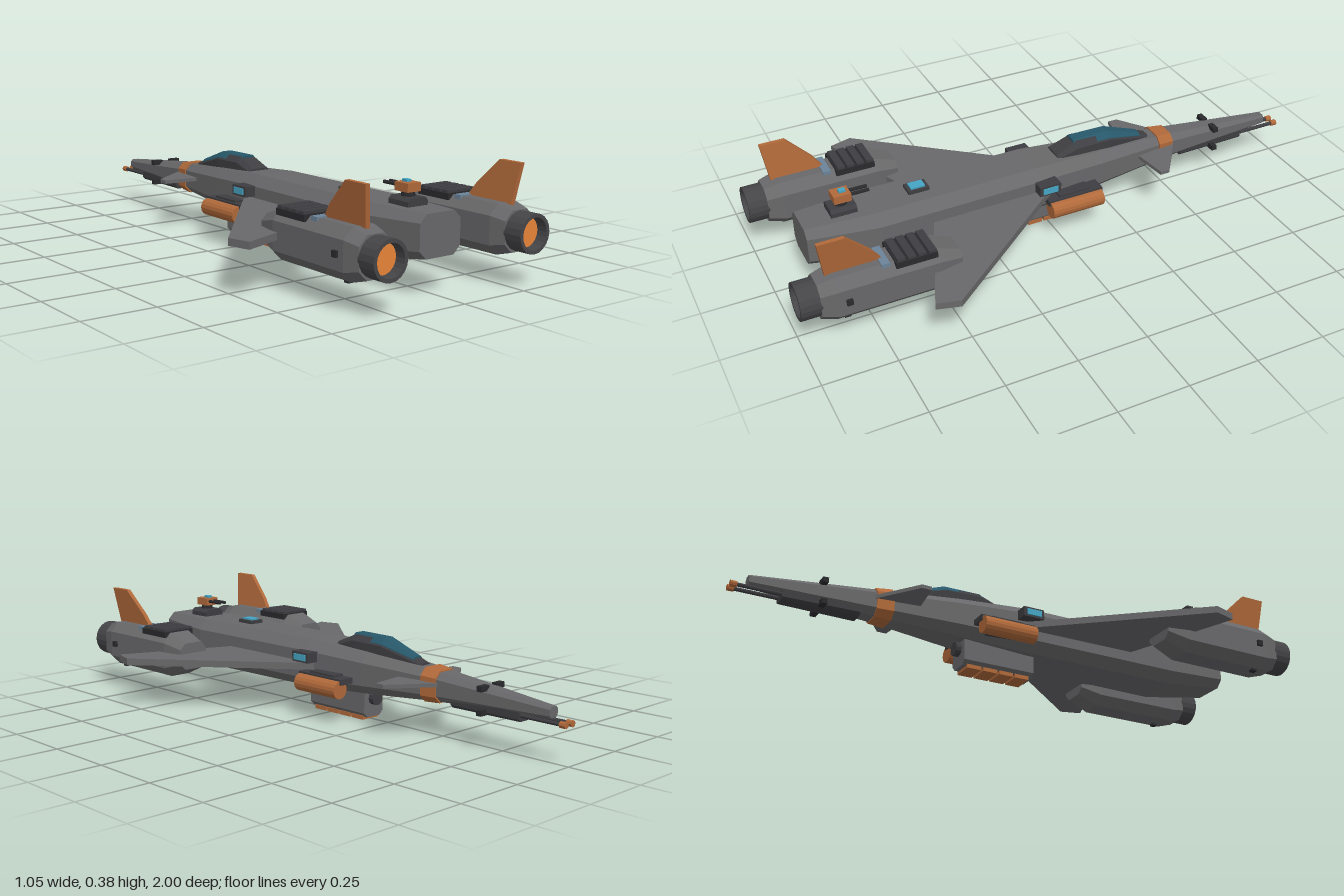
import * as THREE from 'three';

const paint = (color, extra = {}) => new THREE.MeshStandardMaterial({ color, flatShading: true, ...extra });
const HULL = paint(0x68686a), DARK = paint(0x3e3e42), BLACK = paint(0x2a2a2d);
const ORANGE = paint(0xb0693a), GLOW = paint(0xe88438), GLASS = paint(0x27586a);
const TEAL = paint(0x45a5c4), STEEL = paint(0x6b8499), NOZZLE = paint(0x454548, { side: THREE.DoubleSide });

function add(parent, name, geometry, material, x = 0, y = 0, z = 0) {
  const mesh = new THREE.Mesh(geometry, material);
  mesh.name = name;
  mesh.position.set(x, y, z);
  parent.add(mesh);
  return mesh;
}

// Box given by its extents
function box(parent, name, material, [x0, x1], [y0, y1], [z0, z1]) {
  return add(parent, name, new THREE.BoxGeometry(Math.abs(x1 - x0), y1 - y0, z1 - z0), material,
    (x0 + x1) / 2, (y0 + y1) / 2, (z0 + z1) / 2);
}

// Cylinder lying along z
function rod(parent, name, material, r, x, y, z0, z1, sides = 12) {
  const g = new THREE.CylinderGeometry(r, r, z1 - z0, sides).rotateX(Math.PI / 2);
  return add(parent, name, g, material, x, y, (z0 + z1) / 2);
}

// Loft of chamfered rectangles: [z, halfWidth, bottom, top, chamfer], z rising
function loft(sections) {
  const pos = [], rings = sections.map(([z, w, b, t, c]) => [
    [w, b + c, z], [w, t - c, z], [w - c, t, z], [c - w, t, z],
    [-w, t - c, z], [-w, b + c, z], [c - w, b, z], [w - c, b, z]]);
  const tri = (...p) => p.forEach(v => pos.push(...v));
  for (let i = 0; i + 1 < rings.length; i++) {
    for (let j = 0; j < 8; j++) {
      const k = (j + 1) % 8, p = rings[i], q = rings[i + 1];
      tri(p[j], p[k], q[k]);
      tri(p[j], q[k], q[j]);
    }
  }
  const first = rings[0], last = rings[rings.length - 1];
  for (let j = 1; j < 7; j++) {
    tri(first[0], first[j + 1], first[j]);
    tri(last[0], last[j], last[j + 1]);
  }
  const g = new THREE.BufferGeometry();
  g.setAttribute('position', new THREE.Float32BufferAttribute(pos, 3));
  g.computeVertexNormals();
  return g;
}

const extrude = (pts, depth) => new THREE.ExtrudeGeometry(
  new THREE.Shape(pts.map(p => new THREE.Vector2(...p))), { depth, bevelEnabled: false });

// Flat plate from an (x, z) outline
const plate = (pts, s, y, h) =>
  extrude(pts.map(([x, z]) => [x * s, -z]), h).rotateX(-Math.PI / 2).translate(0, y, 0);

function addFuselage(g) {
  add(g, 'fuselage', loft([
    [-0.94, 0.02, 0.142, 0.178, 0.008],
    [-0.5, 0.05, 0.122, 0.222, 0.022],
    [-0.2, 0.085, 0.102, 0.246, 0.032],
    [0.06, 0.105, 0.088, 0.26, 0.036],
    [0.65, 0.112, 0.085, 0.26, 0.036],
    [0.89, 0.082, 0.12, 0.258, 0.026]]), HULL);
  add(g, 'noseBand', loft([
    [-0.51, 0.053, 0.118, 0.225, 0.022],
    [-0.45, 0.06, 0.115, 0.231, 0.024]]), ORANGE);

  // Canopy with inset glazing
  add(g, 'canopy', loft([
    [-0.42, 0.022, 0.2, 0.235, 0.008],
    [-0.25, 0.042, 0.2, 0.293, 0.02],
    [-0.12, 0.046, 0.2, 0.296, 0.02],
    [-0.04, 0.044, 0.2, 0.262, 0.012]]), DARK);
  add(g, 'canopyGlass', loft([
    [-0.385, 0.021, 0.225, 0.252, 0.008],
    [-0.25, 0.038, 0.225, 0.299, 0.02],
    [-0.11, 0.039, 0.225, 0.3, 0.02]]), GLASS);

  // Chin gun with twin barrels
  add(g, 'chinGun', loft([
    [-0.83, 0.027, 0.112, 0.152, 0.008],
    [-0.56, 0.034, 0.112, 0.155, 0.01]]), DARK);
  for (const s of [1, -1]) {
    rod(g, 'noseBarrel', DARK, 0.007, s * 0.017, 0.132, -0.985, -0.82, 8);
    rod(g, 'noseMuzzle', ORANGE, 0.011, s * 0.017, 0.132, -1, -0.978, 8);
    for (const [y, x] of [[0.2, 0.05], [0.122, 0.05]])
      box(g, 'noseThruster', BLACK, [s * 0.018, s * (x + 0.008)], [y - 0.009, y + 0.009], [-0.705, -0.685]);
  }

  // Dorsal hatch
  box(g, 'hatchFrame', DARK, [-0.027, 0.027], [0.25, 0.272], [0.44, 0.515]);
  box(g, 'hatchLight', TEAL, [-0.018, 0.018], [0.265, 0.278], [0.452, 0.503]);
}

function addTurret(g) {
  add(g, 'turretBase', loft([
    [0.7, 0.04, 0.25, 0.285, 0.01], [0.79, 0.04, 0.25, 0.285, 0.01]]), DARK);
  add(g, 'turretNeck', new THREE.CylinderGeometry(0.02, 0.024, 0.03, 10), BLACK, 0, 0.292, 0.745);
  box(g, 'turretHead', ORANGE, [-0.027, 0.027], [0.3, 0.328], [0.712, 0.772]);
  box(g, 'turretSensor', TEAL, [-0.009, 0.009], [0.326, 0.336], [0.725, 0.748]);
  for (const s of [1, -1]) rod(g, 'turretBarrel', BLACK, 0.006, s * 0.012, 0.316, 0.647, 0.72, 8);
}

function addBellyPod(g) {
  add(g, 'bellyPod', loft([
    [-0.18, 0.046, 0.01, 0.13, 0.016], [0.09, 0.046, 0.01, 0.13, 0.016]]), HULL);
  for (let i = 0; i < 4; i++) {
    const z = -0.165 + i * 0.062;
    box(g, 'bellyPanel', ORANGE, [-0.038, 0.038], [0, 0.014], [z, z + 0.054]);
  }
  rod(g, 'bellySensor', DARK, 0.025, 0, 0.077, -0.2, -0.17, 12);
}

function addSide(g, s) {
  add(g, 'wing', plate([[0.09, 0], [0.527, 0.54], [0.505, 0.62], [0.09, 0.455]], s, 0.16, 0.024), HULL);
  add(g, 'canard', plate([[0.03, -0.53], [0.193, -0.41], [0.193, -0.375], [0.03, -0.353]], s, 0.176, 0.013), HULL);

  // Side store with bracket and sensor block
  rod(g, 'sidePod', ORANGE, 0.031, s * 0.143, 0.121, -0.16, 0.04, 16);
  box(g, 'podBracket', DARK, [s * 0.07, s * 0.135], [0.115, 0.165], [-0.12, 0.0]);
  box(g, 'podRail', DARK, [s * 0.075, s * 0.145], [0.138, 0.158], [-0.165, 0.045]);
  box(g, 'sensorBlock', DARK, [s * 0.09, s * 0.145], [0.19, 0.226], [0, 0.08]);
  box(g, 'sensorLens', TEAL, [s * 0.14, s * 0.149], [0.197, 0.219], [0.012, 0.068]);
}

function addEngine(parent, s) {
  const g = new THREE.Group();
  g.name = s > 0 ? 'leftEngine' : 'rightEngine';
  g.position.x = s * 0.291;
  parent.add(g);
  add(g, 'nacelle', loft([
    [0.46, 0.058, 0.125, 0.222, 0.022],
    [0.54, 0.074, 0.09, 0.252, 0.034],
    [0.88, 0.074, 0.09, 0.252, 0.034],
    [0.935, 0.062, 0.105, 0.238, 0.03]]), HULL);

  // Hollow nozzle with glowing disc
  const ring = [[0.055, 0.92], [0.064, 0.93], [0.064, 1], [0.052, 1], [0.048, 0.95]];
  add(g, 'nozzle', new THREE.LatheGeometry(ring.map(p => new THREE.Vector2(...p)), 20).rotateX(Math.PI / 2),
    NOZZLE, 0, 0.172, 0);
  add(g, 'exhaustGlow', new THREE.CircleGeometry(0.049, 20), GLOW, 0, 0.172, 0.965);

  // Top vent and slats
  box(g, 'ventBase', BLACK, [-0.064, 0.064], [0.235, 0.256], [0.545, 0.685]);
  for (let i = 0; i < 4; i++) {
    const z = 0.547 + i * 0.035;
    box(g, 'ventSlat', DARK, [-0.06, 0.06], [0.25, 0.265], [z, z + 0.026]);
  }
  box(g, 'servicePanel', STEEL, [-0.05, 0.05], [0.24, 0.256], [0.7, 0.728]);

  // Outward-leaning tail fin
  const fin = extrude([[-0.9, 0.24], [-0.705, 0.24], [-0.745, 0.295], [-0.83, 0.38], [-0.92, 0.38]], 0.016)
    .rotateY(Math.PI / 2);
  const p = fin.attributes.position;
  for (let i = 0; i < p.count; i++) p.setX(i, p.getX(i) - 0.008 + s * (p.getY(i) - 0.24) * 0.14);
  fin.computeVertexNormals();
  add(g, 'tailFin', fin, ORANGE, s * 0.002, 0, 0);

  // Attitude thrusters
  box(g, 'outerThruster', BLACK, [s * 0.065, s * 0.084], [0.164, 0.184], [0.838, 0.858]);
  box(g, 'lowerThruster', BLACK, [s * 0.016, s * 0.036], [0.082, 0.1], [0.838, 0.858]);
}

export function createModel() {
  const model = new THREE.Group();
  model.name = 'starfighter';
  addFuselage(model);
  addTurret(model);
  addBellyPod(model);
  for (const s of [1, -1]) {
    addSide(model, s);
    addEngine(model, s);
  }
  return model;
}
